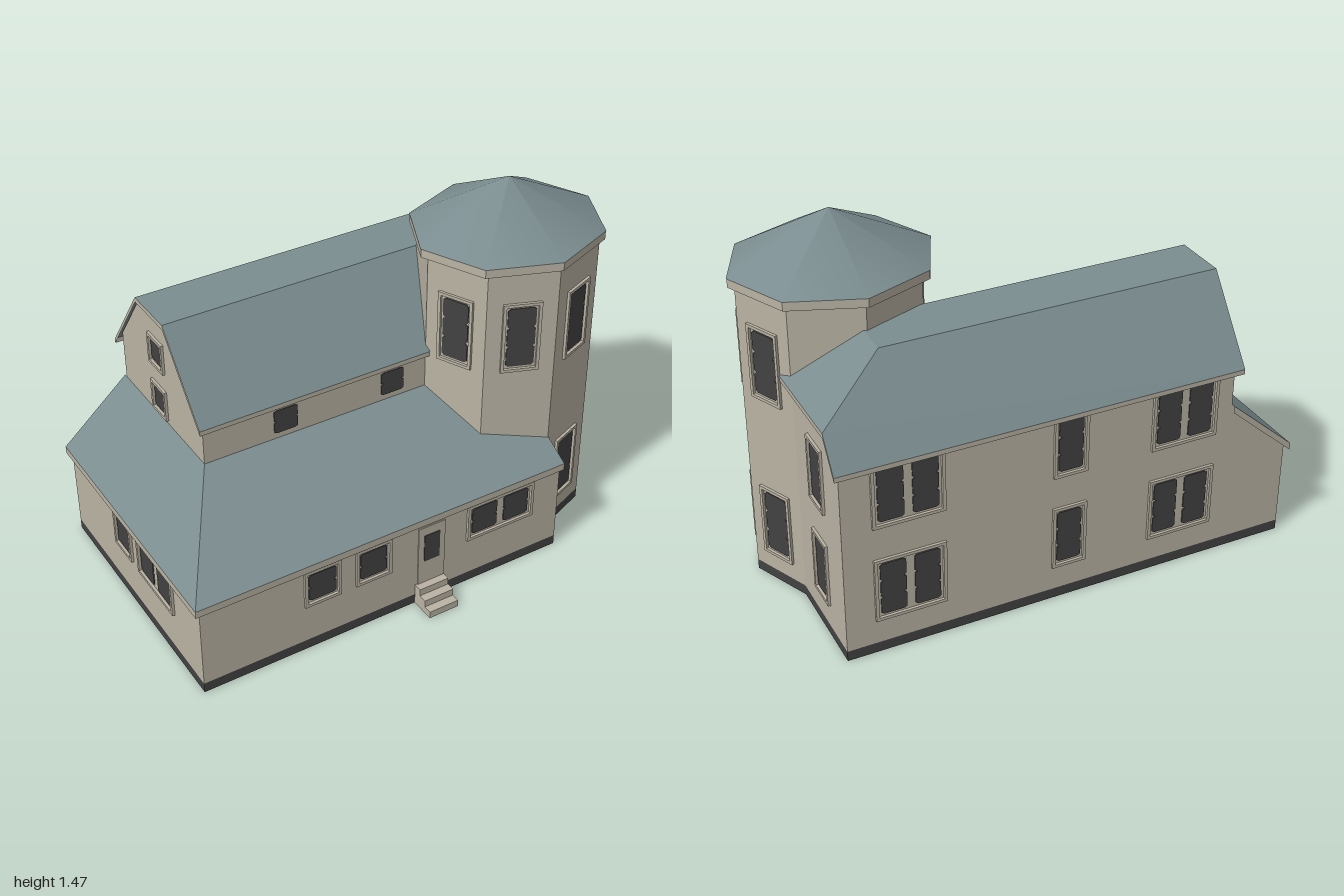
import * as THREE from 'three';

const mat = (name, color) => {
  const m = new THREE.MeshStandardMaterial({ color, side: THREE.DoubleSide });
  m.name = name;
  return m;
};

export function createModel() {
  const house = new THREE.Group();
  house.name = 'house';
  const wallMat = mat('wall beige', 0xbab3a4);
  const roofMat = mat('roof slate', 0x7b8d90);
  const darkMat = mat('dark grey', 0x424242);

  const add = (geo, material, name, parent = house) => {
    const mesh = new THREE.Mesh(geo, material);
    mesh.name = name;
    parent.add(mesh);
    return mesh;
  };

  // flat faces from convex outlines of [x, y, z] corners
  const faces = (list, material, name) => {
    const pos = [];
    for (const p of list)
      for (let i = 1; i < p.length - 1; i++) pos.push(...p[0], ...p[i], ...p[i + 1]);
    const geo = new THREE.BufferGeometry();
    geo.setAttribute('position', new THREE.Float32BufferAttribute(pos, 3));
    geo.computeVertexNormals();
    return add(geo, material, name);
  };

  // upright strip along a path of [x, z] points
  const strip = (path, y0, y1, material, name) =>
    faces(path.slice(1).map(([x, z], i) => {
      const [a, b] = path[i];
      return [[a, y0, b], [x, y0, z], [x, y1, z], [a, y1, b]];
    }), material, name);

  // edge board hanging below a path of [x, y, z] points
  const fascia = (path, h, name) =>
    faces(path.slice(1).map((q, i) => {
      const p = path[i];
      return [p, q, [q[0], q[1] - h, q[2]], [p[0], p[1] - h, p[2]]];
    }), wallMat, name);

  // tower corners, counted from the front towards +x
  const TX = 0.607, TZ = 0.08;
  const corner = (i) => [TX + 0.363 * Math.sin(i * Math.PI / 4), TZ + 0.335 * Math.cos(i * Math.PI / 4)];
  const corners = Array.from({ length: 9 }, (_, i) => corner(i));
  const outer = corners.slice(0, 4);
  const X0 = -0.98, X1 = corners[3][0], XU = -0.72;
  const ZB = -0.585, ZF = 0.51, ZU = 0.08;

  // base band and ground floor walls
  const loop = [[X1, ZB], [X0, ZB], [X0, ZF], [0.6, ZF], ...outer, [X1, ZB]];
  strip(loop, 0, 0.042, darkMat, 'foundation');
  strip([[X0, ZB], [X0, ZF], [0.6, ZF], outer[0]], 0.042, 0.4, wallMat, 'groundFloorWalls');

  // taller walls of the main block
  faces([
    [[XU, 0.042, ZB], [X1, 0.042, ZB], [X1, 0.85, ZB], [XU, 0.85, ZB]],
    [[X0, 0.042, ZB], [XU, 0.042, ZB], [XU, 0.655, ZB], [X0, 0.42, ZB]],
  ], wallMat, 'backWall');
  faces([[[X1, 0.042, ZB], [X1, 0.042, corners[3][1]], [X1, 0.935, corners[3][1]],
    [X1, 0.935, -0.53], [X1, 0.86, ZB]]], wallMat, 'rightWall');
  faces([[[XU, 0.65, ZB], [XU, 0.65, ZU], [XU, 0.84, ZU], [XU, 1.125, -0.16],
    [XU, 1.125, -0.385], [XU, 0.86, ZB]]], wallMat, 'leftGable');
  strip([[XU, ZU], [0.25, ZU]], 0.65, 0.84, wallMat, 'upperFrontWall');

  // tower
  strip(outer, 0.042, 1.24, wallMat, 'towerOuterWalls');
  strip(corners.slice(3), 0.45, 1.24, wallMat, 'towerInnerWalls');
  const rim = add(new THREE.CylinderGeometry(1, 1, 0.035, 8).toNonIndexed(), wallMat, 'towerCornice');
  rim.geometry.computeVertexNormals();
  rim.scale.set(0.39, 1, 0.357);
  rim.position.set(TX, 1.253, 0.073);
  const cone = add(new THREE.ConeGeometry(1, 0.195, 8, 1, true), roofMat, 'towerRoof');
  cone.scale.set(0.392, 1, 0.358);
  cone.position.set(TX, 1.3685, 0.073);

  // main roof with flat crown and clipped right gable
  const L = -0.74, R = 0.89, H = 0.62, T = 1.132, E = 0.82;
  faces([
    [[L, E, -0.62], [L, T, -0.385], [H, T, -0.385], [R, 0.945, -0.53], [R, E, -0.62]],
    [[L, T, -0.385], [L, T, -0.16], [H, T, -0.16], [H, T, -0.385]],
    [[L, T, -0.16], [L, E, 0.1], [R, E, 0.1], [R, 0.945, -0.005], [H, T, -0.16]],
    [[H, T, -0.385], [H, T, -0.16], [R, 0.945, -0.005], [R, 0.945, -0.53]],
  ], roofMat, 'mainRoof');
  fascia([[R, 0.945, -0.1], [R, 0.945, -0.53], [R, E, -0.62], [L, E, -0.62], [L, T, -0.385],
    [L, T, -0.16], [L, E, 0.1], [0.25, E, 0.1]], 0.02, 'mainRoofTrim');

  // lean-to roof round the front and left side
  const P = 0.41, Q = 0.655;
  faces([
    [[-1, P, 0.525], [0.61, P, 0.525], [0.61, Q, ZU], [XU, Q, ZU]],
    [[-1, P, -0.6], [-1, P, 0.525], [XU, Q, ZU], [XU, Q, -0.6]],
  ], roofMat, 'lowerRoof');
  fascia([[XU, Q, -0.6], [-1, P, -0.6], [-1, P, 0.525], [0.61, P, 0.525], [0.61, P + 0.06, 0.415]],
    0.03, 'lowerRoofTrim');

  // windows: notched dark panes, with a raised frame when asked for
  const rect = (S, w, h) => new S([[-w, -h], [w, -h], [w, h], [-w, h]].map(([x, y]) => new THREE.Vector2(x / 2, y / 2)));
  const paneShape = (w, h, rows) => {
    const side = [];
    for (let i = 0; i < rows; i++) {
      const a = -h / 2 + i * h / rows, b = a + h / rows, n = 0.1 * h / rows;
      side.push([w / 2 - 0.01, a], [w / 2, a + n], [w / 2, b - n], [w / 2 - 0.01, b]);
    }
    const mirrored = side.map(([x, y]) => [-x, y]).reverse();
    return new THREE.Shape([...side, ...mirrored].map(([x, y]) => new THREE.Vector2(x, y)));
  };
  const extrude = (shape, d) =>
    new THREE.ExtrudeGeometry(shape, { depth: d, bevelEnabled: false }).translate(0, 0, -d / 2);
  const addWindow = (x, y, z, turn, w, h, { panes = 1, frame = true, rows = 3 } = {}) => {
    const g = new THREE.Group();
    g.name = 'window';
    g.position.set(x, y, z);
    g.rotation.y = turn;
    const step = w / panes;
    const pw = frame ? step - 0.04 : step;
    const ph = frame ? h - 0.045 : h;
    for (let i = 0; i < panes; i++) {
      const pane = add(extrude(paneShape(pw, ph, rows), 0.008), darkMat, 'pane', g);
      pane.position.x = (i - (panes - 1) / 2) * step * 0.95;
    }
    if (frame) {
      const ring = rect(THREE.Shape, w, h);
      ring.holes.push(rect(THREE.Path, w - 0.025, h - 0.025));
      add(extrude(ring, 0.022), wallMat, 'windowFrame', g);
    }
    house.add(g);
  };
  const BACK = Math.PI, RIGHT = Math.PI / 2, LEFT = -Math.PI / 2;

  // front windows
  addWindow(-0.48, 0.293, ZF, 0, 0.155, 0.165, { rows: 2 });
  addWindow(-0.26, 0.293, ZF, 0, 0.155, 0.165, { rows: 2 });
  addWindow(0.317, 0.293, ZF, 0, 0.31, 0.165, { panes: 2, rows: 2 });
  for (const x of [-0.377, 0.092]) addWindow(x, 0.73, ZU, 0, 0.1, 0.1, { frame: false, rows: 2 });

  // left windows
  addWindow(X0, 0.293, 0.155, LEFT, 0.29, 0.165, { panes: 2, rows: 2 });
  addWindow(X0, 0.293, -0.12, LEFT, 0.145, 0.165, { rows: 2 });
  for (const y of [0.735, 0.945]) addWindow(XU, y, -0.27, LEFT, 0.12, 0.13, { rows: 2 });

  // right and back windows on two floors
  for (const y of [0.277, 0.678]) {
    addWindow(X1, y, -0.368, RIGHT, 0.135, 0.265);
    addWindow(0.61, y, ZB, BACK, 0.28, 0.265, { panes: 2 });
    addWindow(-0.03, y, ZB, BACK, 0.14, 0.265);
    addWindow(-0.51, y, ZB, BACK, 0.28, 0.265, { panes: 2 });
  }

  // tower windows, upper floor on five faces and lower floor on three
  for (const i of [-2, -1, 0, 1, 2]) {
    const [ax, az] = corner(i), [bx, bz] = corner(i + 1);
    const turn = Math.atan2(az - bz, bx - ax);
    for (const y of i < 0 ? [0.957] : [0.957, 0.267])
      addWindow((ax + bx) / 2, y, (az + bz) / 2, turn, 0.15, 0.3);
  }

  // front door and steps
  add(new THREE.BoxGeometry(0.12, 0.27, 0.008), wallMat, 'door').position.set(0, 0.225, ZF);
  add(new THREE.BoxGeometry(0.07, 0.125, 0.009), darkMat, 'doorGlass').position.set(0, 0.258, ZF + 0.002);
  for (let i = 0; i < 3; i++) {
    const d = 0.105 - i * 0.035, h = 0.03;
    add(new THREE.BoxGeometry(0.13, h, d), wallMat, 'step').position.set(-0.005, h * (i + 0.5), ZF + d / 2);
  }

  return house;
}
